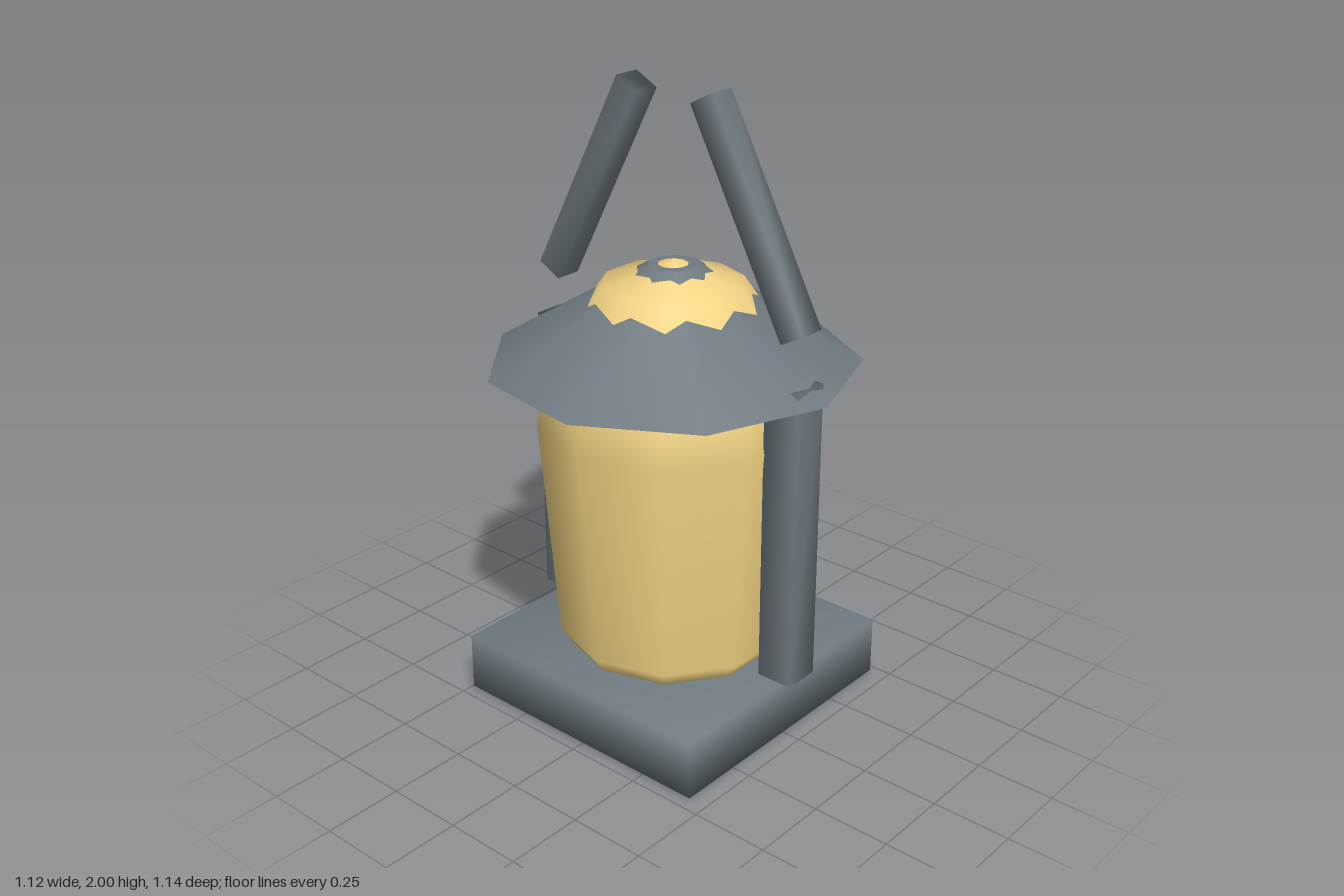
import * as THREE from 'three';
import { mergeVertices } from 'three/addons/utils/BufferGeometryUtils.js';

const CX = -0.02; // axis of the lantern

// Box with normals averaged over its corners, for a soft low-poly look
function softBox(w, h, d) {
  const box = new THREE.BoxGeometry(w, h, d);
  box.deleteAttribute('normal');
  box.deleteAttribute('uv');
  const soft = mergeVertices(box);
  soft.computeVertexNormals();
  return soft;
}

export function createModel() {
  const model = new THREE.Group();
  model.name = 'lantern';
  const metal = new THREE.MeshStandardMaterial({ color: 0x6f7a80 });
  const glow = new THREE.MeshStandardMaterial({ color: 0xf2d383 });

  const add = (name, geometry, material, x, y) => {
    const mesh = new THREE.Mesh(geometry, material);
    mesh.name = name;
    mesh.position.set(x, y, 0);
    model.add(mesh);
    return mesh;
  };

  // Square foot plate
  add('base', softBox(0.93, 0.19, 0.93), metal, CX, 0.105);

  // Ten-sided glowing glass, closed at both poles
  const profile = [
    [0, 0], [0.33, 0.19], [0.37, 0.25], [0.425, 0.97],
    [0.39, 1.15], [0.22, 1.4], [0, 1.47],
  ].map(([r, y]) => new THREE.Vector2(r, y));
  add('glass', new THREE.LatheGeometry(profile, 10), glow, CX, 0);

  // Nine-sided roof, cut off just below the tip of the glass
  const roof = new THREE.CylinderGeometry(0.08, 0.578, 0.305, 9, 1, false, Math.PI / 2);
  add('roof', roof, metal, CX, 1.3025);

  // Upright posts and the leaning handle bars on both sides
  for (const [side, s] of [['left', 1], ['right', -1]]) {
    add(`${side}Post`, softBox(0.12, 0.97, 0.12), metal, CX + s * 0.46, 0.705);
    const bar = add(`${side}HandleBar`, softBox(0.088, 0.725, 0.088), metal, CX + s * 0.31, 1.66);
    bar.rotation.z = s * 0.487;
  }
  return model;
}
